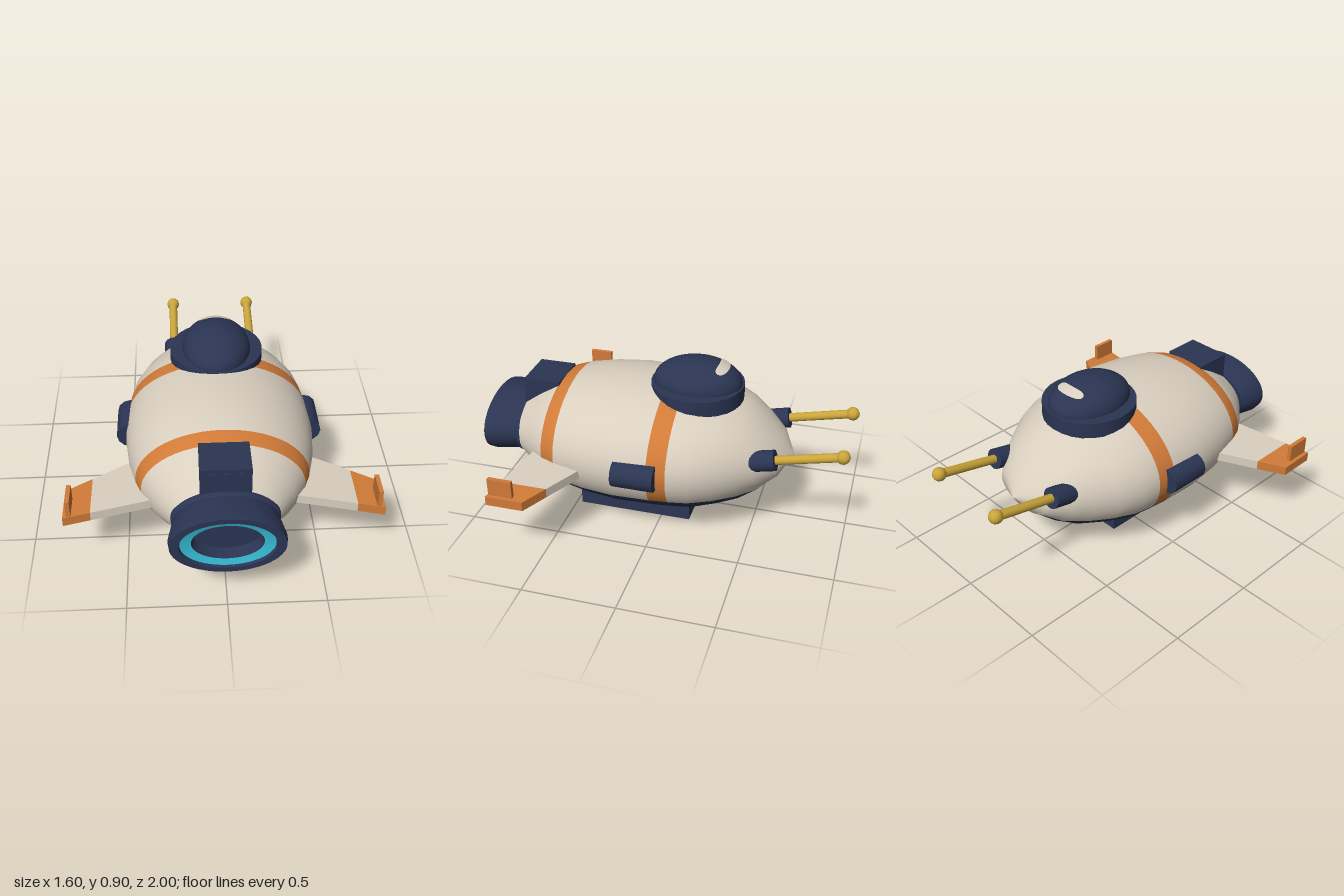
import * as THREE from 'three';
import { toCreasedNormals } from 'three/addons/utils/BufferGeometryUtils.js';

const mat = (name, color) => Object.assign(new THREE.MeshStandardMaterial({ color }), { name });

export function createModel() {
  const cream = mat('cream', 0xd9cfbf), navy = mat('navy', 0x2b3553), orange = mat('orange', 0xd17b38);
  const cyan = mat('cyan', 0x35b8d0), brass = mat('brass', 0xcaa53a);
  const model = new THREE.Group();
  model.name = 'ship';

  const add = (name, geo, material, x = 0, y = 0, z = 0, parent = model) => {
    const mesh = new THREE.Mesh(geo, material);
    mesh.name = name;
    mesh.position.set(x, y, z);
    parent.add(mesh);
    return mesh;
  };
  const box = (w, h, d) => new THREE.BoxGeometry(w, h, d);

  // Hull sections: z, half width, half height, centre height
  const sections = [
    [-0.69, 0.001, 0.001, 0.4], [-0.62, 0.18, 0.11, 0.4], [-0.52, 0.28, 0.2, 0.405], [-0.43, 0.34, 0.265, 0.41],
    [-0.32, 0.415, 0.3, 0.415], [-0.2, 0.465, 0.33, 0.415], [-0.1, 0.482, 0.34, 0.417], [0, 0.493, 0.345, 0.418],
    [0.2, 0.5, 0.35, 0.42], [0.38, 0.48, 0.335, 0.42], [0.525, 0.445, 0.31, 0.42], [0.605, 0.415, 0.285, 0.42],
    [0.7, 0.35, 0.235, 0.415], [0.8, 0.265, 0.175, 0.41],
  ];
  const upper = 36, lower = 20, around = upper + lower;
  const pos = [], index = [], hull = new THREE.BufferGeometry();
  for (const [z, w, h, cy] of sections) {
    // The belly paint line stays near one height
    const a0 = Math.asin(Math.max(-0.95, (0.26 - cy) / h));
    for (let i = 0; i < around; i++) {
      const a = i < upper
        ? a0 + (Math.PI - 2 * a0) * i / upper
        : Math.PI - a0 + (Math.PI + 2 * a0) * (i - upper) / lower;
      pos.push(w * Math.cos(a), cy + h * Math.sin(a), z);
    }
  }
  const strip = (s, from, to, material) => {
    hull.addGroup(index.length, (to - from) * 6, material);
    for (let i = from; i < to; i++) {
      const a = s * around + i, b = s * around + (i + 1) % around;
      index.push(a, b, a + around, b, b + around, a + around);
    }
  };
  for (let s = 0; s < sections.length - 1; s++) {
    const z = sections[s][0];
    strip(s, 0, upper, z === -0.1 || z === 0.525 ? 1 : 0);
    strip(s, upper, around, s === 0 ? 0 : 2);
  }
  hull.setAttribute('position', new THREE.Float32BufferAttribute(pos, 3));
  hull.setIndex(index);
  hull.computeVertexNormals();
  add('hull', hull, [cream, orange, navy]);

  // Oval engine nozzle with a glowing ring and recessed core
  const oval = (points) => {
    const g = new THREE.LatheGeometry(points.map(([r, z]) => new THREE.Vector2(r, z)), 48);
    g.rotateX(Math.PI / 2).scale(1, 0.617, 1);
    return toCreasedNormals(g, 0.5);
  };
  add('nozzle', oval([[0, 0.785], [0.27, 0.785], [0.27, 0.81], [0.258, 0.825], [0.285, 0.96], [0.28, 1],
    [0.235, 1], [0.23, 0.985]]), navy, 0, 0.41);
  add('engineGlow', oval([[0.23, 0.985], [0.175, 0.975]]), cyan, 0, 0.41);
  add('engineCore', oval([[0.175, 0.975], [0.165, 0.91], [0, 0.91]]), navy, 0, 0.41);

  // Rear vent with raised slats
  add('rearVent', box(0.25, 0.15, 0.205), navy, 0, 0.635, 0.7);
  for (const x of [-0.07, 0, 0.07]) add('ventSlat', box(0.03, 0.11, 0.012), navy, x, 0.635, 0.806);

  // Canopy
  add('canopyBase', new THREE.CylinderGeometry(0.25, 0.25, 0.11, 28), navy, 0, 0.715, -0.15);
  const dome = new THREE.SphereGeometry(1, 36, 12, 0, Math.PI * 2, 0, Math.PI / 2);
  add('canopyDome', dome.scale(0.185, 0.13, 0.24), navy, 0, 0.77, -0.15);
  // Window follows the dome surface, with a concave rear edge
  const pane = new THREE.RingGeometry(0.001, 1, 28, 6).rotateX(-Math.PI / 2);
  const p = pane.attributes.position;
  for (let i = 0; i < p.count; i++) {
    const u = p.getX(i), v = p.getZ(i);
    const x = u * 0.09, z = -0.125 + (v > 0 ? v * 0.025 * (0.4 + u * u) : v * 0.045);
    const y = 0.13 * Math.sqrt(1 - (x / 0.185) ** 2 - (z / 0.24) ** 2) + 0.004;
    p.setXYZ(i, x, y, z);
  }
  pane.computeVertexNormals();
  add('canopyWindow', pane, cream, 0, 0.77, -0.15).material.side = THREE.FrontSide;

  // Belly skid
  add('bellySkid', box(0.4, 0.11, 0.63), navy, 0, 0.055, 0.155);

  // Wing slab between two spanwise positions, tapering and drooping outward
  const wingSlab = (x0, x1) => {
    const g = box(1, 1, 1), q = g.attributes.position;
    for (let i = 0; i < q.count; i++) {
      const x = q.getX(i) < 0 ? x0 : x1;
      const z = q.getZ(i) < 0 ? 0.55 - (0.8 - x) * 0.56 : 0.75 - (0.8 - x) * 0.19;
      q.setXYZ(i, x, 0.36 + (0.8 - x) * 0.06 + q.getY(i) * 0.05, z);
    }
    g.computeVertexNormals();
    return g;
  };
  const mirrored = (geo, side) => {
    if (side > 0) return geo;
    const g = geo.clone().scale(-1, 1, 1), ix = g.index;
    for (let i = 0; i < ix.count; i += 3) {
      const t = ix.getX(i);
      ix.setX(i, ix.getX(i + 1));
      ix.setX(i + 1, t);
    }
    g.computeVertexNormals();
    return g;
  };

  for (const side of [1, -1]) {
    const label = side > 0 ? 'left' : 'right';
    add(label + 'Wing', mirrored(wingSlab(0.36, 0.665), side), cream);
    add(label + 'WingTip', mirrored(wingSlab(0.665, 0.8), side), orange);
    add(label + 'Fin', box(0.022, 0.1, 0.13), orange, side * 0.77, 0.43, 0.675);

    // Side pod
    const pod = new THREE.CylinderGeometry(0.072, 0.072, 0.225, 12).rotateX(Math.PI / 2);
    add(label + 'Pod', pod, navy, side * 0.478, 0.43, 0.063);

    // Cannon, tilted slightly upward
    const cannon = new THREE.Group();
    cannon.name = label + 'Cannon';
    cannon.position.set(side * 0.23, 0.475, -0.56);
    cannon.rotation.x = 0.22;
    model.add(cannon);
    const rod = (r, len) => new THREE.CylinderGeometry(r, r, len, 16).rotateX(Math.PI / 2);
    add('cannonMount', rod(0.056, 0.13), navy, 0, 0, 0, cannon);
    add('cannonBarrel', rod(0.024, 0.36), brass, 0, 0, -0.22, cannon);
    add('cannonTip', new THREE.SphereGeometry(0.037, 12, 8), brass, 0, 0, -0.413, cannon);
  }
  return model;
}
